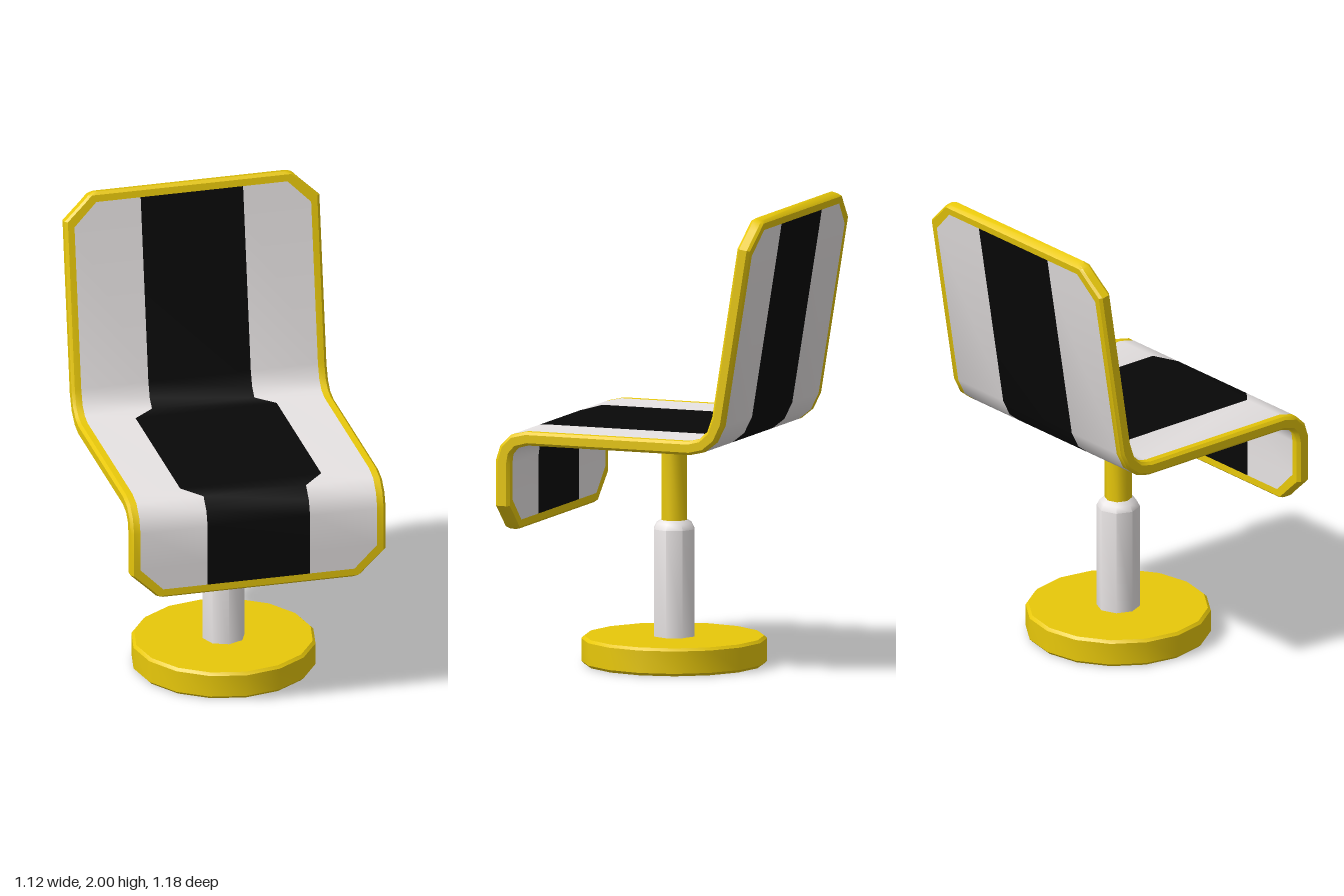
import * as THREE from 'three';
import { toCreasedNormals } from 'three/addons/utils/BufferGeometryUtils.js';

const material = (color) => new THREE.MeshStandardMaterial({ color });
const yellow = material(0xe8c80a);
const white = material(0xe6e2e2);
const black = material(0x080808);

// Round part turned from [radius, height] points
function turned(name, profile, sides, mat, crease) {
  const geo = new THREE.LatheGeometry(profile.map(([r, y]) => new THREE.Vector2(r, y)), sides);
  const mesh = new THREE.Mesh(toCreasedNormals(geo, crease), mat);
  mesh.name = name;
  return mesh;
}

// One cross-section of the shell: upper and lower point as [z, y],
// then half widths of the whole shell, the panel inside the rim and the dark stripe
const section = (upper, lower, outer, inner = 0.52, stripe = 0.225) => ({ upper, lower, outer, inner, stripe });

// Upright sections of the front lip and the tilted back
const lip = (y, outer, inner, inset = 0) => section([0.594 - inset, y], [0.53 + inset, y], outer, inner);
const back = (y, outer, inner, inset = 0) => {
  const z = -0.4 - 0.16 * (y - 1.155);
  return section([z - inset, y], [z - 0.057 + inset, y - 0.009], outer, inner);
};

const sections = [
  // front lip with cut corners
  lip(0.605, 0.43, 0.4, 0.012),
  lip(0.615, 0.45, 0.42),
  lip(0.645, 0.48, 0.42),
  lip(0.72, 0.56, 0.495),
  lip(0.745, 0.56, 0.52),
  // front bend
  section([0.594, 0.915], [0.53, 0.9], 0.56),
  section([0.573, 0.98], [0.525, 0.94], 0.56),
  section([0.525, 1.027], [0.5, 0.97], 0.56),
  // seat, where the stripe is wider
  section([0.456, 1.043], [0.446, 0.985], 0.56, 0.52, 0.31),
  section([-0.29, 1.043], [-0.297, 0.985], 0.56, 0.52, 0.31),
  // rear bend
  section([-0.34, 1.056], [-0.36, 1.0], 0.56),
  section([-0.377, 1.09], [-0.414, 1.043], 0.56),
  section([-0.4, 1.155], [-0.45, 1.115], 0.56),
  // back with cut corners
  back(1.86, 0.56, 0.52),
  back(1.885, 0.56, 0.495),
  back(1.96, 0.48, 0.42),
  back(1.99, 0.45, 0.42),
  back(2.0, 0.43, 0.4, 0.012),
];

// Closed loop of points round one section, with a small bevel on each edge
function sectionLoop({ upper, lower, outer, inner, stripe }) {
  const c = 0.012;
  const half = [[-inner, 0], [-stripe, 0], [stripe, 0], [inner, 0], [outer - c, 0], [outer, 0.2], [outer, 0.8], [outer - c, 1]];
  const opposite = half.map(([x, d]) => [-x, 1 - d]);
  return [...half, ...opposite].map(([x, d]) => [
    x,
    upper[1] + (lower[1] - upper[1]) * d,
    upper[0] + (lower[0] - upper[0]) * d,
  ]);
}

function createShell() {
  const shell = new THREE.Group();
  shell.name = 'seatShell';
  const faces = { rim: [], sidePanels: [], centreStripe: [] };
  const columns = ['sidePanels', 'centreStripe', 'sidePanels', 'rim', 'rim', 'rim', 'rim', 'rim'];
  const loops = sections.map(sectionLoop);
  const n = loops[0].length;

  for (let i = 0; i < loops.length - 1; i++) {
    const atEnd = i < 2 || i > loops.length - 4;
    for (let j = 0; j < n; j++) {
      const k = (j + 1) % n;
      const [a, b, c, d] = [loops[i][j], loops[i][k], loops[i + 1][k], loops[i + 1][j]];
      faces[atEnd ? 'rim' : columns[j % 8]].push(...a, ...b, ...d, ...b, ...c, ...d);
    }
  }
  // end caps
  const first = loops[0];
  const last = loops[loops.length - 1];
  for (let j = 1; j < n - 1; j++) {
    faces.rim.push(...first[0], ...first[j + 1], ...first[j]);
    faces.rim.push(...last[0], ...last[j], ...last[j + 1]);
  }

  const colours = { rim: yellow, sidePanels: white, centreStripe: black };
  for (const name in faces) {
    const geo = new THREE.BufferGeometry();
    geo.setAttribute('position', new THREE.Float32BufferAttribute(faces[name], 3));
    const mesh = new THREE.Mesh(toCreasedNormals(geo, 0.6), colours[name]);
    mesh.name = name;
    shell.add(mesh);
  }
  return shell;
}

export function createModel() {
  const chair = new THREE.Group();
  chair.name = 'swivelChair';
  chair.add(
    createShell(),
    // pedestal
    turned('base', [[0, 0], [0.383, 0], [0.395, 0.012], [0.395, 0.108], [0.383, 0.12], [0, 0.12]], 16, yellow, 0.6),
    turned('lowerPost', [[0.093, 0.11], [0.093, 0.58], [0.08, 0.605], [0.056, 0.62]], 8, white, 0.85),
    turned('upperPost', [[0.058, 0.6], [0.058, 0.945]], 8, yellow, 0.85),
    turned('seatMount', [[0.058, 0.945], [0.093, 0.975], [0.093, 0.99]], 8, yellow, 0.85),
  );
  return chair;
}
